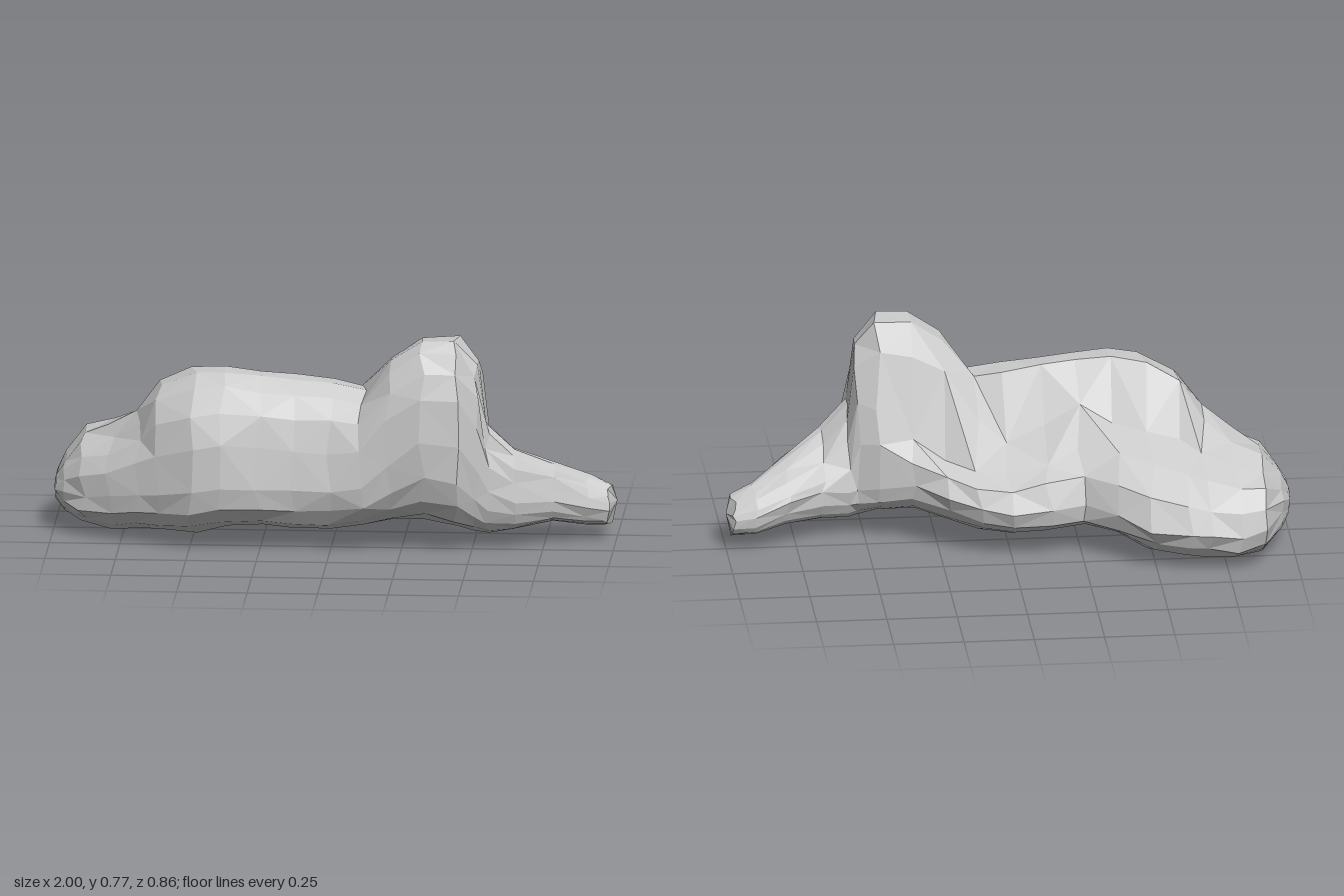
import * as THREE from 'three';

const SIDES = 18;

// Cross-sections along x, part by part:
// [x, back z, crest z, front z, bottom y, top y, height of front bulge, back-slope exponent]
const HAUNCH_AND_TORSO = [
  [-0.99, -0.14, -0.03, 0.05, 0.1, 0.2, 0.15, 2],
  [-0.96, -0.24, -0.06, 0.1, 0.06, 0.26, 0.15, 2.1],
  [-0.89, -0.39, -0.08, 0.17, 0.02, 0.34, 0.15, 2.2],
  [-0.79, -0.425, -0.03, 0.24, 0.0, 0.38, 0.17, 2],
  [-0.69, -0.425, 0.05, 0.29, 0.01, 0.46, 0.19, 1.7],
  [-0.61, -0.425, 0.12, 0.33, 0.02, 0.56, 0.2, 1.5],
  [-0.49, -0.38, 0.16, 0.4, 0.02, 0.62, 0.22, 1.5],
  [-0.38, -0.29, 0.18, 0.41, 0.05, 0.635, 0.24, 1.5],
  [-0.25, -0.2, 0.19, 0.4, 0.06, 0.615, 0.24, 1.5],
  [-0.13, -0.22, 0.18, 0.39, 0.05, 0.605, 0.23, 1.5],
  [0.0, -0.23, 0.17, 0.39, 0.045, 0.595, 0.23, 1.5],
  [0.11, -0.2, 0.19, 0.4, 0.06, 0.57, 0.25, 1.5],
];
const HEAD = [
  [0.21, -0.15, 0.25, 0.41, 0.09, 0.69, 0.33, 1.5],
  [0.33, -0.06, 0.26, 0.425, 0.1, 0.765, 0.42, 1.9],
  [0.45, 0.0, 0.26, 0.41, 0.08, 0.77, 0.4, 2.4],
  [0.52, 0.04, 0.25, 0.35, 0.06, 0.68, 0.3, 2],
];
const LIMB = [
  [0.555, 0.04, 0.24, 0.32, 0.05, 0.46, 0.22, 1.8],
  [0.65, 0.02, 0.22, 0.29, 0.06, 0.36, 0.18, 1.5],
  [0.78, -0.05, 0.13, 0.21, 0.075, 0.29, 0.17, 1.6],
  [0.9, -0.07, 0.05, 0.14, 0.05, 0.225, 0.13, 2],
  [0.975, -0.055, 0.03, 0.105, 0.05, 0.19, 0.11, 2],
];

function makeRandom(seed) {
  return () => {
    seed = (seed * 16807) % 2147483647;
    return (seed / 2147483647) * 2 - 1;
  };
}

// The back is hollowed: a steep ridge above z = 0 and a shallow shelf behind it,
// which sinks from the haunch towards the head
function backLimit(x, z) {
  const drop = 0.1 * THREE.MathUtils.smoothstep(x, -0.4, 0);
  return 0.43 - drop + (z > 0 ? 2.1 + 10 * drop : 0.4) * z;
}

// One ring, made of four superellipse quarters that meet at the crest, belly and both flanks
function ringPoints([x, zb, zt, zf, yb, yt, yf, backPower], frontPower, random, wobble) {
  const yBack = yb + Math.min(0.13, (yt - yb) / 2);
  const zBelly = (zb + zf) / 2;
  const points = [];
  for (let j = 0; j < SIDES; j++) {
    const a = (j / SIDES) * Math.PI * 2;
    const c = Math.cos(a), s = Math.sin(a);
    const front = c >= 0, upper = s >= 0;
    const power = 2 / (upper ? (front ? frontPower : backPower) : 2.4);
    const w = Math.pow(Math.abs(c), power), h = Math.pow(Math.abs(s), power);
    const zMid = upper ? zt : zBelly;
    const yMid = front ? yf : yBack;
    const z = zMid + ((front ? zf : zb) - zMid) * w;
    const y = Math.min(yMid + ((upper ? yt : yb) - yMid) * h, backLimit(x, z));
    // slight irregularity of the facets
    points.push(new THREE.Vector3(
      x + random() * 0.016 * wobble,
      Math.max(0, y + random() * 0.007 * wobble),
      z + random() * 0.007 * wobble
    ));
  }
  return points;
}

function bodyGeometry() {
  const random = makeRandom(71);
  const rings = [
    ...HAUNCH_AND_TORSO.map((s, i) => ringPoints(s, 2.2, random, i < 2 ? 0.3 : 1)),
    ...HEAD.map((s) => ringPoints(s, 2.6, random, 0.8)),
    ...LIMB.map((s) => ringPoints(s, 2.1, random, 0.6)),
  ];
  const last = rings.length - 1;
  const positions = [];
  const tri = (...corners) => corners.forEach((p) => positions.push(p.x, p.y, p.z));

  // skin between rings, with alternating diagonals
  for (let i = 0; i < last; i++) {
    for (let j = 0; j < SIDES; j++) {
      const k = (j + 1) % SIDES;
      const a = rings[i][j], b = rings[i + 1][j], c = rings[i + 1][k], d = rings[i][k];
      if ((i + j) % 2) {
        tri(a, b, d);
        tri(b, c, d);
      } else {
        tri(a, b, c);
        tri(a, c, d);
      }
    }
  }

  // closed ends
  const rearTip = new THREE.Vector3(-1, 0.16, -0.05);
  const limbTip = new THREE.Vector3(1, 0.13, 0.01);
  for (let j = 0; j < SIDES; j++) {
    const k = (j + 1) % SIDES;
    tri(rearTip, rings[0][j], rings[0][k]);
    tri(limbTip, rings[last][k], rings[last][j]);
  }

  const geometry = new THREE.BufferGeometry();
  geometry.setAttribute('position', new THREE.Float32BufferAttribute(positions, 3));
  geometry.computeVertexNormals();
  return geometry;
}

export function createModel() {
  const group = new THREE.Group();
  group.name = 'facetedMound';
  const material = new THREE.MeshStandardMaterial({ color: 0xcccccc, flatShading: true });
  const body = new THREE.Mesh(bodyGeometry(), material);
  body.name = 'body';
  group.add(body);
  return group;
}
